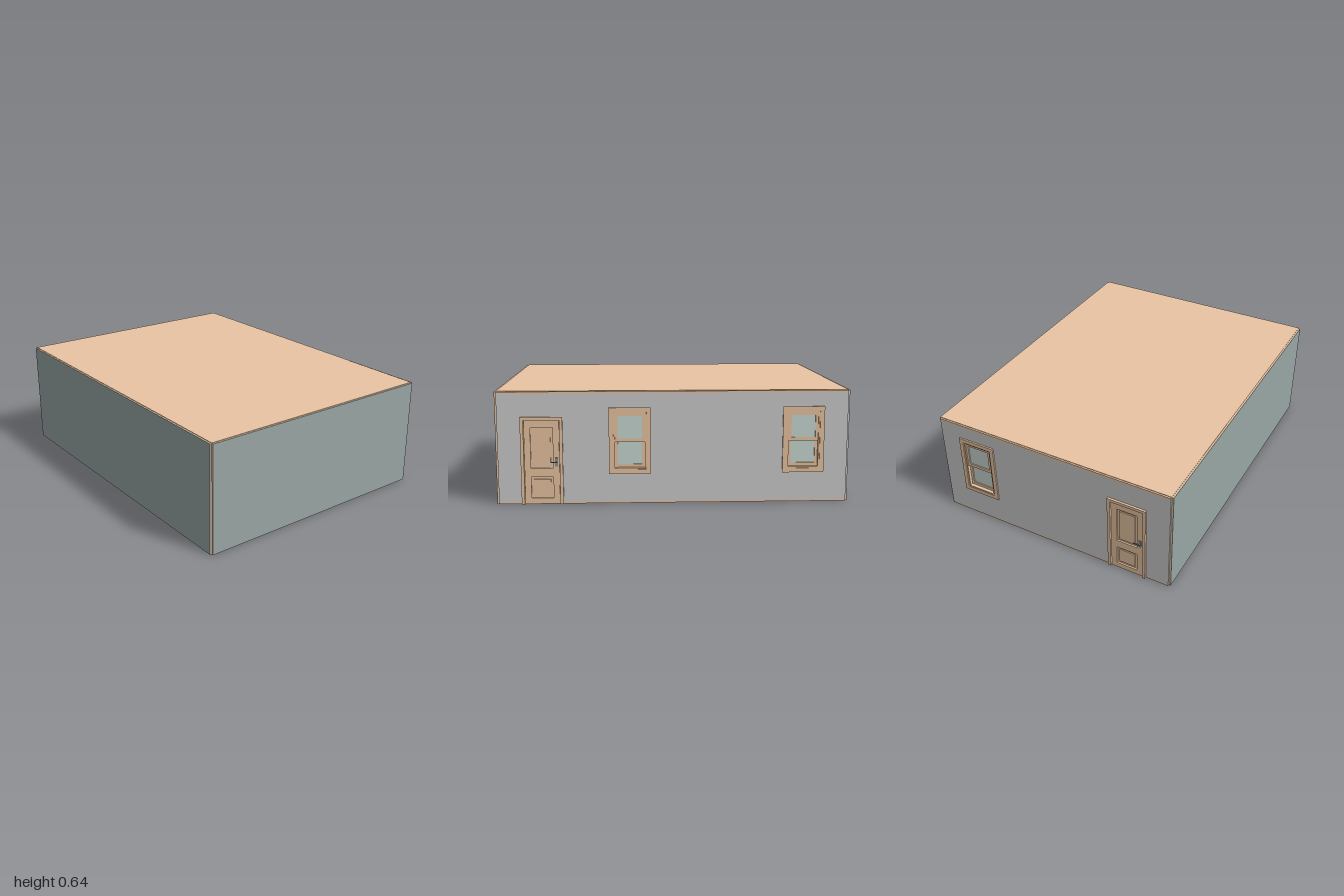
import * as THREE from 'three';

const mat = (color) => new THREE.MeshStandardMaterial({ color });
const tan = mat(0xe9c4a2), grey = mat(0xcccccc), glass = mat(0x98a6a4), pane = mat(0xc8d8d2), metal = mat(0x8a8f94);

// Extents of the room core; wall panels sit just outside it
const X0 = -0.975, X1 = 0.985, Z0 = -0.73, Z1 = 0.745, TOP = 0.638, SKIN = 0.01;

// Box given by its min and max corners
function box(parent, name, material, x0, x1, y0, y1, z0, z1) {
  const m = new THREE.Mesh(new THREE.BoxGeometry(x1 - x0, y1 - y0, z1 - z0), material);
  m.position.set((x0 + x1) / 2, (y0 + y1) / 2, (z0 + z1) / 2);
  m.name = name;
  parent.add(m);
  return m;
}

function trace(path, [x0, x1, y0, y1]) {
  path.moveTo(x0, y0);
  path.lineTo(x1, y0);
  path.lineTo(x1, y1);
  path.lineTo(x0, y1);
  path.closePath();
  return path;
}

// Flat plate with rectangular holes, from depth z0 to z1
function plate(parent, name, material, outer, holes, z0, z1) {
  const shape = trace(new THREE.Shape(), outer);
  for (const h of holes) shape.holes.push(trace(new THREE.Path(), h));
  const m = new THREE.Mesh(new THREE.ExtrudeGeometry(shape, { depth: z1 - z0, bevelEnabled: false }), material);
  m.position.z = z0;
  m.name = name;
  parent.add(m);
}

// Double-hung window: casing, jamb liner and two sashes
function createWindow(x) {
  const g = new THREE.Group();
  g.name = 'window';
  g.position.x = x;
  plate(g, 'windowCasing', tan, [-0.117, 0.117, 0.17, 0.545], [[-0.092, 0.092, 0.195, 0.52]], -0.002, 0.009);
  plate(g, 'windowJamb', tan, [-0.095, 0.095, 0.19, 0.525], [[-0.084, 0.084, 0.203, 0.512]], -0.028, 0.004);
  const sash = (name, y0, y1, z) => {
    plate(g, name + 'Frame', tan, [-0.085, 0.085, y0, y1], [[-0.068, 0.068, y0 + 0.019, y1 - 0.017]], z - 0.012, z);
    box(g, name + 'Pane', pane, -0.07, 0.07, y0 + 0.017, y1 - 0.015, z - 0.009, z - 0.006);
  };
  sash('upperSash', 0.35, 0.513, -0.002);
  sash('lowerSash', 0.202, 0.366, -0.014);
  box(g, 'windowSill', tan, -0.092, 0.092, 0.191, 0.203, -0.02, 0.006);
  return g;
}

// Two-panel door with casing and lever handle
function createDoor(x) {
  const g = new THREE.Group();
  g.name = 'door';
  g.position.x = x;
  const casing = (name, w, top, inner, z) => {
    box(g, name + 'Right', tan, inner, w, 0, top, -0.008, z);
    box(g, name + 'Left', tan, -w, -inner, 0, top, -0.008, z);
    box(g, name + 'Head', tan, -inner, inner, top - (w - inner), top, -0.008, z);
  };
  casing('doorCasing', 0.117, 0.495, 0.099, 0.013);
  const panels = [[-0.062, 0.062, 0.205, 0.435], [-0.062, 0.062, 0.035, 0.155]];
  plate(g, 'doorLeaf', tan, [-0.097, 0.097, 0.002, 0.475], panels, -0.008, 0.004);
  box(g, 'doorBack', tan, -0.1, 0.1, 0.002, 0.48, -0.02, -0.006);
  for (const [x0, x1, y0, y1] of panels) {
    box(g, 'raisedPanel', tan, x0 + 0.014, x1 - 0.014, y0 + 0.014, y1 - 0.014, -0.007, 0);
  }
  const rose = box(g, 'handlePlate', metal, 0.073, 0.089, 0.215, 0.265, 0.003, 0.007);
  const stem = new THREE.Mesh(new THREE.CylinderGeometry(0.004, 0.004, 0.012, 12), metal);
  stem.rotation.x = Math.PI / 2;
  stem.position.set(rose.position.x, 0.24, 0.009);
  stem.name = 'handleStem';
  g.add(stem);
  box(g, 'handleLever', metal, 0.047, 0.085, 0.237, 0.243, 0.011, 0.015);
  return g;
}

// Wall in its own frame: x to the right seen from outside, z outward
function createWall(name, x0, x1, windows, doors) {
  const g = new THREE.Group();
  g.name = name;
  const holes = windows.map((x) => [x - 0.094, x + 0.094, 0.192, 0.523]);
  for (const x of doors) holes.push([x - 0.099, x + 0.099, 0.014, 0.477]);
  plate(g, 'wallPanel', grey, [x0, x1, 0.01, 0.624], holes, -0.03, 0);
  box(g, 'baseTrim', tan, x0, x1, 0, 0.01, -0.012, 0);
  box(g, 'topTrim', tan, x0, x1, 0.624, 0.635, -0.012, 0);
  windows.forEach((x) => g.add(createWindow(x)));
  doors.forEach((x) => g.add(createDoor(x)));
  return g;
}

export function createModel() {
  const room = new THREE.Group();
  room.name = 'room';

  // Floor, ceiling and corner posts
  box(room, 'floor', tan, X0, X1, 0, 0.01, Z0, Z1);
  box(room, 'ceiling', tan, X0, X1, 0.624, TOP, Z0, Z1);
  for (const x of [X0, X1 - 0.03]) {
    for (const z of [Z0, Z1 - 0.03]) box(room, 'cornerPost', grey, x, x + 0.03, 0.01, 0.624, z, z + 0.03);
  }

  // Solid back and right-hand walls with doors and windows
  const back = createWall('backWall', -X1, -X0, [0.725, -0.25], [-0.74]);
  back.rotation.y = Math.PI;
  back.position.z = Z0 - SKIN;
  const side = createWall('rightWall', Z0, Z1, [-0.485], [0.49]);
  side.rotation.y = -Math.PI / 2;
  side.position.x = X0 - SKIN;
  room.add(back, side);

  // Glazed front and left-hand walls: thin core with a glass face
  box(room, 'frontPanelCore', tan, X0, X1, 0, 0.635, Z1, Z1 + 0.009);
  box(room, 'frontGlass', glass, X0, X1, 0, 0.635, Z1 + 0.009, Z1 + 0.011);
  box(room, 'leftPanelCore', tan, X1, X1 + 0.009, 0, 0.635, Z0, Z1);
  box(room, 'leftGlass', glass, X1 + 0.009, X1 + 0.011, 0, 0.635, Z0, Z1);
  return room;
}
